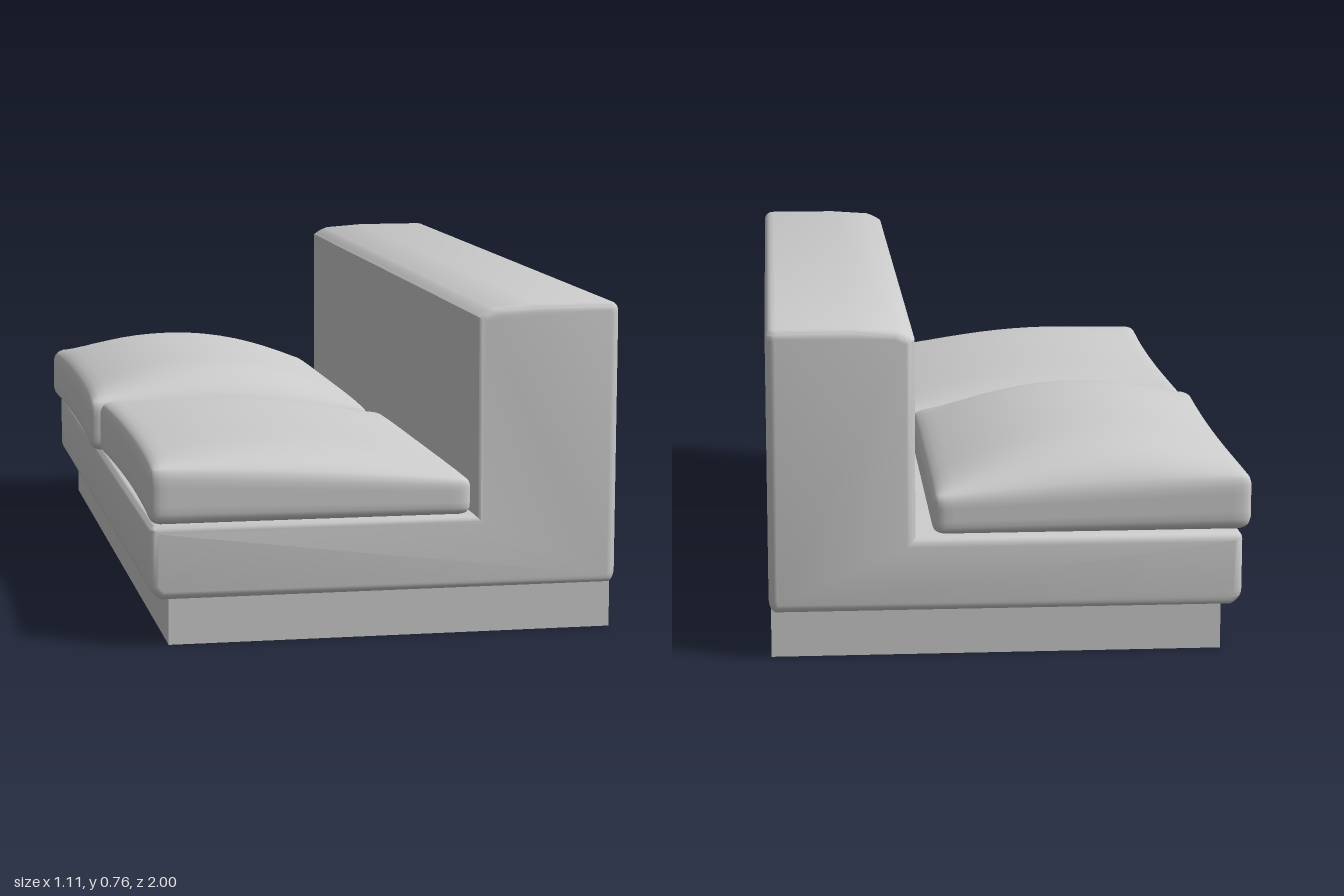
import * as THREE from 'three';
import { mergeVertices, toCreasedNormals } from 'three/addons/utils/BufferGeometryUtils.js';

const material = new THREE.MeshStandardMaterial({ color: 0xcccccc });

function addMesh(group, name, geometry) {
  const mesh = new THREE.Mesh(geometry, material);
  mesh.name = name;
  group.add(mesh);
  return mesh;
}

// Soft rounded cushion: rounded box whose top slopes to the backrest and bulges in the middle
function cushionGeometry({ x0, x1, z0, z1, bottom, front, back, bulge, radius = 0.03 }) {
  const half = new THREE.Vector3((x1 - x0) / 2, (front - bottom) / 2, (z1 - z0) / 2);
  const inner = half.clone().subScalar(radius);
  let geo = new THREE.BoxGeometry(2, 2, 2, 24, 10, 28);
  geo.deleteAttribute('uv');
  geo.deleteAttribute('normal');
  geo = mergeVertices(geo);
  const pos = geo.attributes.position;
  const p = new THREE.Vector3(), core = new THREE.Vector3();
  const spread = (t) => Math.sin(t * Math.PI / 2); // packs vertices near the edges
  for (let i = 0; i < pos.count; i++) {
    p.fromBufferAttribute(pos, i);
    p.set(spread(p.x), spread(p.y), spread(p.z)).multiply(half);
    core.copy(p).clamp(inner.clone().negate(), inner);
    p.sub(core).setLength(radius).add(core);
    const u = p.x / half.x, v = p.z / half.z, h = (p.y / half.y + 1) / 2;
    const top = THREE.MathUtils.lerp(front, back, (u + 1) / 2)
      + bulge * (1 - u * u) * (1 - v ** 6);
    const sag = 0.012 * (1 - v * v) * u * u * u; // slight bow of the front and back edges
    pos.setXYZ(i,
      (x0 + x1) / 2 + p.x - (u < 0 ? -sag * -1 : 0),
      bottom + h * (top - bottom),
      (z0 + z1) / 2 + p.z);
  }
  geo.computeVertexNormals();
  return geo;
}

export function createModel() {
  const group = new THREE.Group();

  // Recessed plinth
  addMesh(group, 'plinth', new THREE.BoxGeometry(1.035, 0.12, 1.93))
    .position.set(0.0325, 0.06, 0);

  // L-shaped seat base and backrest, swept along the sofa
  const s = new THREE.Shape();
  s.moveTo(-0.505, 0.11);
  s.lineTo(0.54, 0.11);
  s.quadraticCurveTo(0.553, 0.115, 0.555, 0.14);
  s.lineTo(0.555, 0.74);
  s.quadraticCurveTo(0.555, 0.765, 0.53, 0.765);
  s.lineTo(0.36, 0.765);
  s.lineTo(0.26, 0.758);
  s.quadraticCurveTo(0.24, 0.753, 0.22, 0.738);
  s.lineTo(0.22, 0.28);
  s.lineTo(-0.515, 0.28);
  s.quadraticCurveTo(-0.53, 0.278, -0.53, 0.262);
  s.lineTo(-0.53, 0.145);
  s.quadraticCurveTo(-0.53, 0.125, -0.505, 0.11);
  const bevel = 0.02;
  const body = new THREE.ExtrudeGeometry(s, {
    depth: 2 - 2 * bevel, bevelThickness: bevel, bevelSize: bevel,
    bevelOffset: -bevel, bevelSegments: 4, curveSegments: 5,
  });
  body.translate(0, 0, -1 + bevel);
  addMesh(group, 'seatBaseAndBackrest', toCreasedNormals(body, 0.7));

  // Two loose seat cushions
  addMesh(group, 'leftSeatCushion', cushionGeometry({
    x0: -0.532, x1: 0.215, z0: 0.01, z1: 0.99,
    bottom: 0.278, front: 0.416, back: 0.365, bulge: 0.05,
  }));
  addMesh(group, 'rightSeatCushion', cushionGeometry({
    x0: -0.555, x1: 0.18, z0: -0.98, z1: -0.005,
    bottom: 0.28, front: 0.415, back: 0.375, bulge: 0.09,
  }));

  return group;
}
